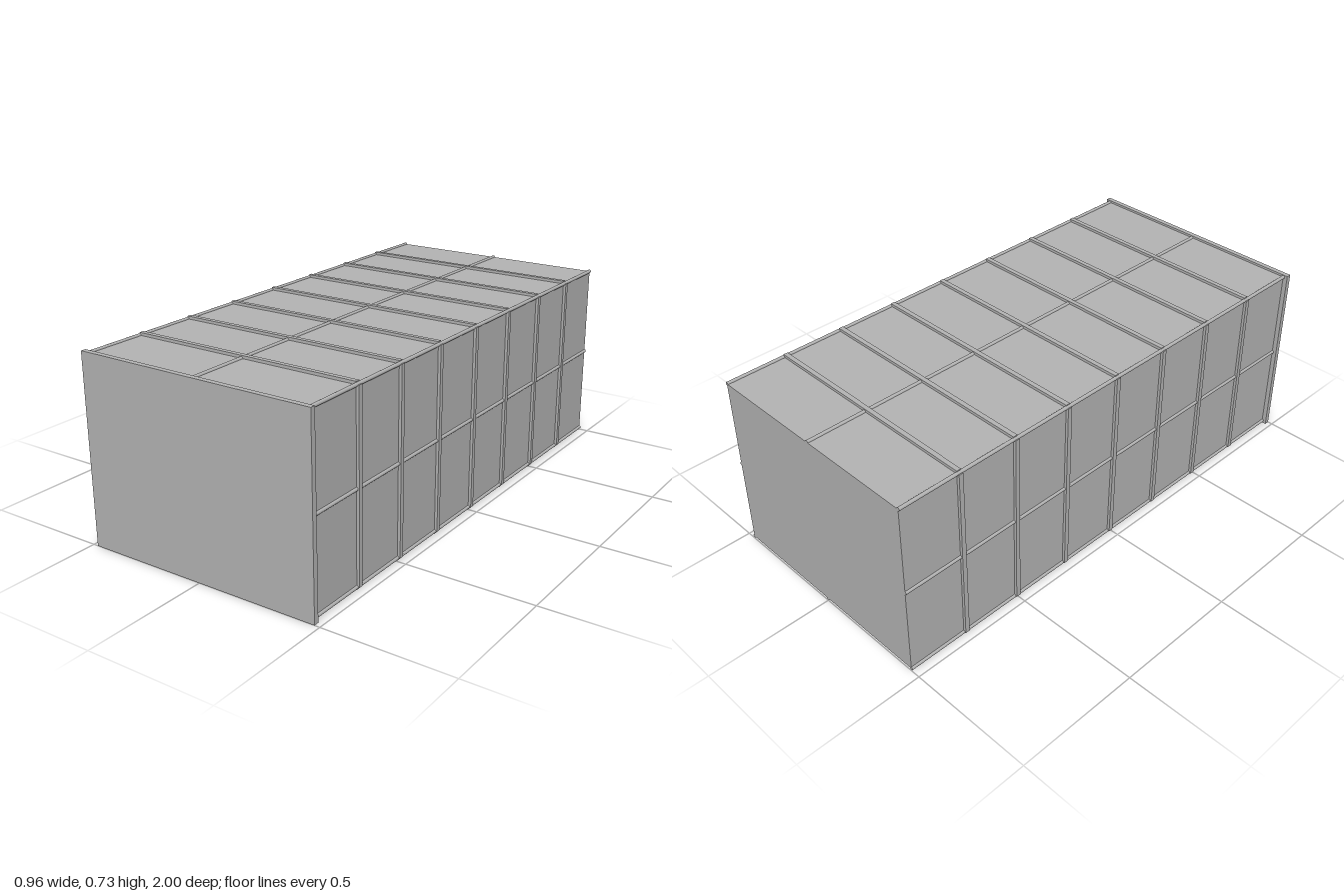
import * as THREE from 'three';

export function createModel() {
  const model = new THREE.Group();
  const grey = new THREE.MeshStandardMaterial({ color: 0xb3b3b3 });
  grey.name = 'plain grey';

  const W = 0.462, H = 0.355, CY = 0.366; // half width, half height and mid height of the body
  const BACK = -1, FRONT = 0.98;
  const length = FRONT - BACK, midZ = (FRONT + BACK) / 2;

  const add = (name, geometry, x, y, z) => {
    const mesh = new THREE.Mesh(geometry, grey);
    mesh.name = name;
    mesh.position.set(x, y, z);
    model.add(mesh);
  };

  // Body and the slightly larger front plate
  add('body', new THREE.BoxGeometry(W * 2, H * 2, length), 0, CY, midZ);
  add('frontPlate', new THREE.BoxGeometry(0.96, 0.73, 0.02), 0, 0.365, 0.99);

  // Lengthwise rods along the corners and the middle of each side
  const rod = new THREE.CylinderGeometry(0.007, 0.007, length, 12).rotateX(Math.PI / 2);
  for (const i of [-1, 0, 1]) {
    for (const j of [-1, 0, 1]) {
      if (i || j) add(i && j ? 'cornerRod' : 'middleRod', rod, i * W, CY + j * H, midZ);
    }
  }

  // Seven evenly spaced ribs around the body
  const ribWidth = 0.018, rise = 0.011;
  const acrossRib = new THREE.BoxGeometry(W * 2, rise, ribWidth);
  const uprightRib = new THREE.BoxGeometry(rise, H * 2, ribWidth);
  for (let k = 1; k <= 7; k++) {
    const z = BACK + (length * k) / 8;
    for (const s of [-1, 1]) {
      add('acrossRib', acrossRib, 0, CY + s * (H + rise / 2), z);
      add('uprightRib', uprightRib, s * (W + rise / 2), CY, z);
    }
  }
  return model;
}
